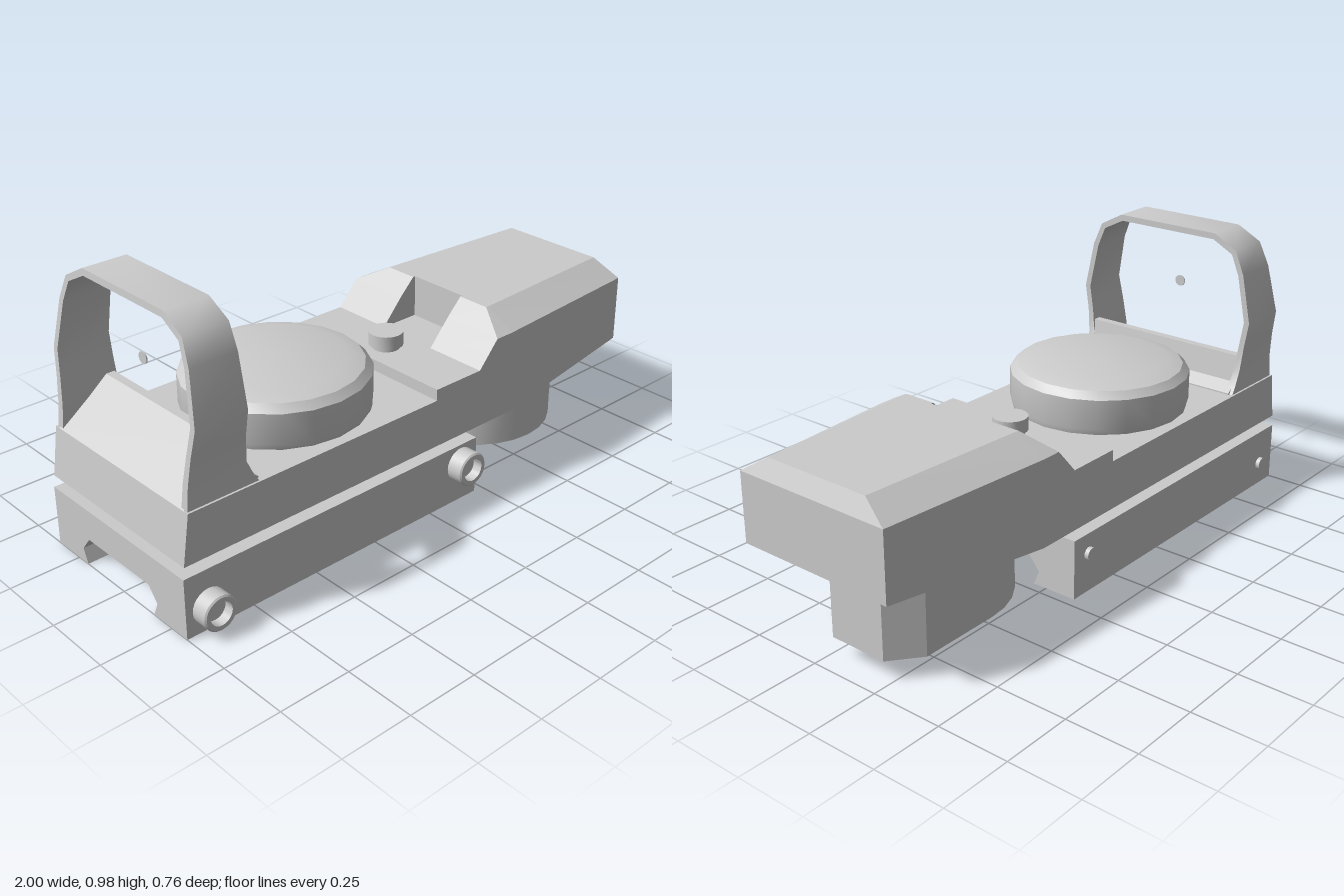
import * as THREE from 'three';
import { toCreasedNormals } from 'three/addons/utils/BufferGeometryUtils.js';

const material = new THREE.MeshStandardMaterial({ color: 0xcccccc });

// Closed solid through a row of matching convex cross-sections
// (each counter-clockwise when seen from the far end of the row).
function loft(sections, crease = 0.2) {
  const out = [];
  const tri = (a, b, c) => out.push(...a, ...b, ...c);
  const n = sections[0].length;
  for (let i = 0; i < sections.length - 1; i++) {
    const s = sections[i], t = sections[i + 1];
    for (let j = 0; j < n; j++) {
      const k = (j + 1) % n;
      tri(s[j], s[k], t[k]);
      tri(s[j], t[k], t[j]);
    }
  }
  const first = sections[0], last = sections[sections.length - 1];
  for (let j = 1; j < n - 1; j++) {
    tri(first[0], first[j + 1], first[j]);
    tri(last[0], last[j], last[j + 1]);
  }
  const g = new THREE.BufferGeometry();
  g.setAttribute('position', new THREE.Float32BufferAttribute(out, 3));
  return toCreasedNormals(g, crease);
}

const outline = (pts) => new THREE.Shape(pts.map(([x, y]) => new THREE.Vector2(x, y)));
const extrude = (shape, depth) =>
  new THREE.ExtrudeGeometry(shape, { depth, bevelEnabled: false, curveSegments: 16 });
// Side outline (x, y) spread evenly over z
const prismZ = (pts, half) => extrude(outline(pts), half * 2).translate(0, 0, -half);
const lathe = (pts, sides, crease = 0.5) =>
  toCreasedNormals(new THREE.LatheGeometry(pts.map(([r, y]) => new THREE.Vector2(r, y)), sides), crease);

export function createModel() {
  const model = new THREE.Group();
  model.position.z = -0.02;
  const root = new THREE.Group();
  root.add(model);
  const add = (name, geometry, x = 0, y = 0, z = 0) => {
    const mesh = new THREE.Mesh(geometry, material);
    mesh.name = name;
    mesh.position.set(x, y, z);
    model.add(mesh);
    return mesh;
  };
  const W = 0.345;

  // Clamp with a dovetail groove along its underside
  const jaw = [[W, 0.21], [W, 0], [0.18, 0], [0.2, 0.05], [0.16, 0.1]];
  const clamp = [...jaw, ...jaw.map(([z, y]) => [-z, y]).reverse()];
  add('railClamp', extrude(outline(clamp), 1.215).rotateY(Math.PI / 2), -1);
  add('clampNeck', new THREE.BoxGeometry(1.12, 0.06, 0.58), -0.39, 0.23, 0);

  // Deck with the raised pad
  add('deck', prismZ([
    [-0.995, 0.25], [0.37, 0.25], [0.37, 0.46], [0.02, 0.46], [0.02, 0.42], [-0.97, 0.42],
  ], W));

  // Tapered, chamfered housing: x, bottom, half width, shoulder y, top y, top half width
  const housing = [
    [0.37, 0.25, W, 0.55, 0.61, 0.235],
    [0.97, 0.307, 0.298, 0.55, 0.61, 0.2],
    [1, 0.31, 0.295, 0.55, 0.55, 0.295],
  ].map(([x, b, w, s, t, tw]) => [
    [x, b, w], [x, b, -w], [x, s, -w], [x, t, -tw], [x, t, tw], [x, s, w],
  ]);
  add('housing', loft(housing));

  // Sloped shoulders on either side of the notch: x, shoulder y, top y, top half width
  const shoulder = [
    [0.22, 0.46, 0.46, W], [0.3, 0.55, 0.55, W], [0.36, 0.55, 0.61, 0.235], [0.37, 0.55, 0.61, 0.235],
  ];
  for (const side of [1, -1]) {
    const sections = shoulder.map(([x, s, t, tw]) => {
      const p = [[x, 0.46, W], [x, 0.46, 0.115], [x, t, 0.115], [x, t, tw], [x, s, W]]
        .map(([a, b, z]) => [a, b, z * side]);
      return side > 0 ? p : p.reverse();
    });
    add(side > 0 ? 'leftShoulder' : 'rightShoulder', loft(sections));
  }

  // Window sill, sloping up from the rear
  add('windowSill', prismZ([
    [-0.97, 0.41], [-0.7, 0.41], [-0.7, 0.425], [-0.745, 0.455], [-0.76, 0.55], [-0.79, 0.55], [-0.97, 0.42],
  ], 0.325));

  // Window hoop: outer z, y, inner z, y, front edge x
  const leg = [
    [0.338, 0.41, 0.31, 0.41, -0.7], [0.337, 0.44, 0.31, 0.44, -0.722], [0.336, 0.5, 0.312, 0.5, -0.75],
    [0.345, 0.59, 0.324, 0.59, -0.755], [0.36, 0.68, 0.339, 0.68, -0.755], [0.325, 0.85, 0.305, 0.845, -0.755],
    [0.29, 0.932, 0.275, 0.917, -0.755], [0.202, 0.98, 0.196, 0.958, -0.755],
  ];
  const hoop = [...leg, ...leg.map(([a, b, c, d, x]) => [-a, b, -c, d, x]).reverse()];
  const rearX = (y) => -0.966 + (y - 0.42) * 0.1;
  add('windowHoop', loft(hoop.map(([oz, oy, iz, iy, x]) => [
    [rearX(iy), iy, iz], [rearX(oy), oy, oz], [x, oy, oz], [x, iy, iz],
  ]), 0.7));

  // Aiming dot in the window
  const dot = add('aimingDot', new THREE.CylinderGeometry(0.02, 0.02, 0.004, 20), -0.855, 0.745, 0);
  dot.rotation.z = Math.PI / 2;

  // Large dial and small button on top
  add('topDial', lathe([
    [0.308, 0], [0.314, 0.02], [0.314, 0.125], [0.29, 0.15], [0.235, 0.167], [0, 0.167],
  ], 20), -0.365, 0.42, 0);
  add('button', lathe([
    [0.05, 0], [0.05, 0.012], [0.06, 0.012], [0.06, 0.06], [0, 0.06],
  ], 24), 0.12, 0.46, 0);

  // Turret under the housing, with a chamfered lug
  add('lowerTurret', toCreasedNormals(new THREE.CylinderGeometry(0.29, 0.29, 0.26, 28), 0.5), 0.55, 0.2, 0);
  add('turretLug', extrude(outline([
    [0.55, 0], [0.94, 0], [0.94, 0.21], [0.84, 0.29], [0.55, 0.29],
  ]), 0.26).rotateX(-Math.PI / 2), 0, 0.07, 0);

  // Clamp bolts: recessed heads at the front, plain ends at the back
  for (const [x, y] of [[-0.915, 0.083], [0.14, 0.138]]) {
    const head = add('boltHead', lathe([
      [0.06, -0.01], [0.06, 0.055], [0.055, 0.06], [0.04, 0.06], [0.04, 0.025], [0, 0.025],
    ], 24), x, y, W);
    head.rotation.x = Math.PI / 2;
    const end = add('boltEnd', new THREE.CylinderGeometry(0.023, 0.023, 0.03, 16), x, y, -W);
    end.rotation.x = Math.PI / 2;
  }
  return root;
}
